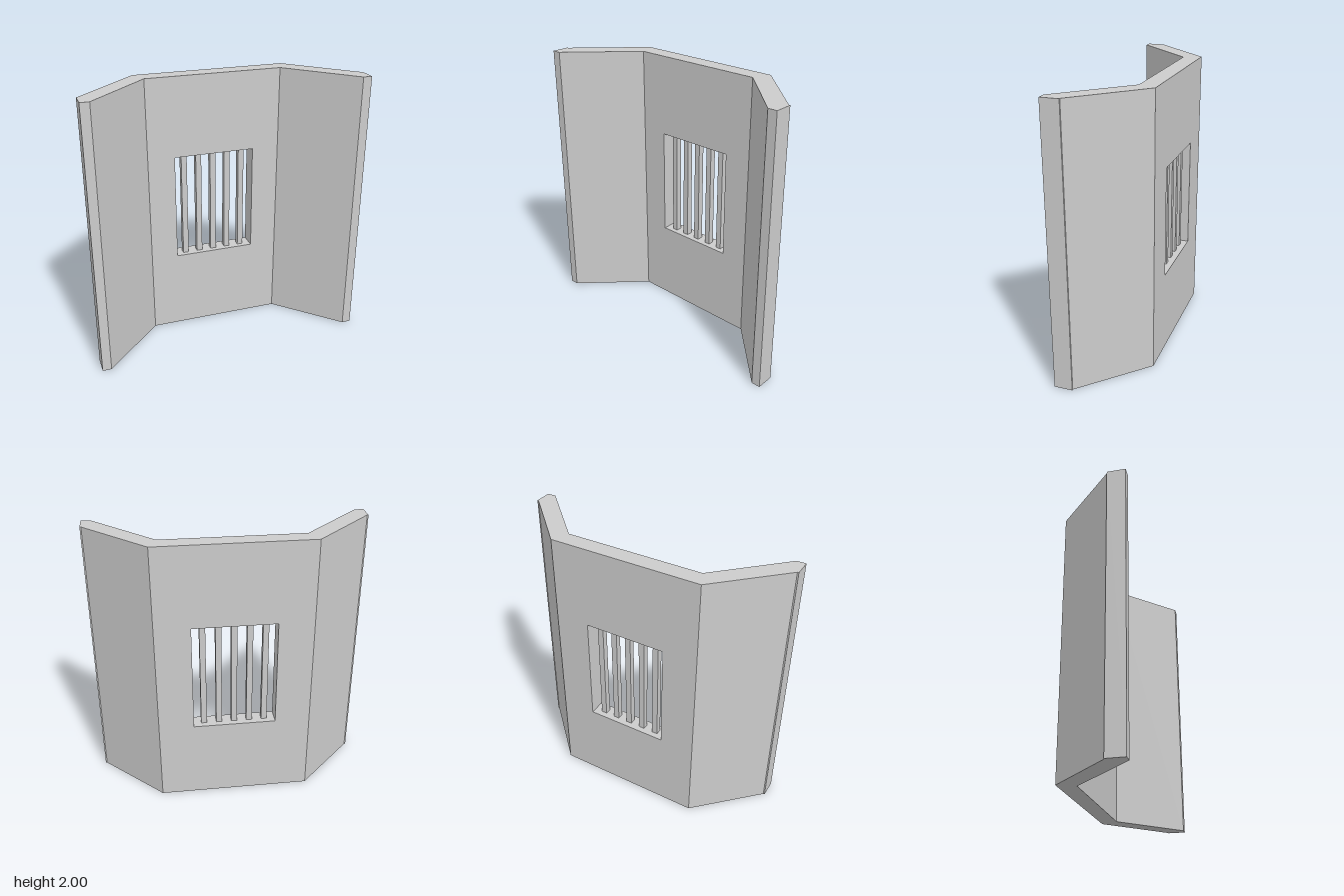
import * as THREE from 'three';

const HEIGHT = 2, BACK = -0.28, FRONT = -0.155;
const WINDOW = { x: 0.3, bottom: 0.6, top: 1.405 };

export function createModel() {
  const group = new THREE.Group();
  const material = new THREE.MeshStandardMaterial({ color: 0xcccccc, flatShading: true });
  const add = (name, geometry) => {
    const mesh = new THREE.Mesh(geometry, material);
    mesh.name = name;
    group.add(mesh);
    return mesh;
  };

  // Centre wall with a window opening, widened at the back to meet the mitred wings
  const wall = new THREE.Shape([[-0.5, 0], [0.5, 0], [0.5, HEIGHT], [-0.5, HEIGHT]]
    .map(([x, y]) => new THREE.Vector2(x, y)));
  const { x: w, bottom, top } = WINDOW;
  wall.holes.push(new THREE.Path([[-w, bottom], [-w, top], [w, top], [w, bottom]]
    .map(([x, y]) => new THREE.Vector2(x, y))));
  const wallGeometry = new THREE.ExtrudeGeometry(wall, { depth: FRONT - BACK, bevelEnabled: false });
  wallGeometry.translate(0, 0, BACK);
  const p = wallGeometry.attributes.position;
  for (let i = 0; i < p.count; i++) {
    if (Math.abs(p.getX(i)) > 0.49 && p.getZ(i) < -0.2) p.setX(i, Math.sign(p.getX(i)) * 0.555);
  }
  wallGeometry.computeVertexNormals();
  add('centreWall', wallGeometry);

  // Angled side wings, drawn in plan as (x, z) and extruded upward
  const wingPlan = [[0.5, FRONT], [0.555, BACK], [0.99, 0.15], [1, 0.15], [1, 0.28], [0.935, 0.28]];
  for (const [name, side] of [['leftWing', 1], ['rightWing', -1]]) {
    const plan = new THREE.Shape(wingPlan.map(([x, z]) => new THREE.Vector2(side * x, -z)));
    const geometry = new THREE.ExtrudeGeometry(plan, { depth: HEIGHT, bevelEnabled: false });
    add(name, geometry.rotateX(-Math.PI / 2));
  }

  // Upright window bars
  for (let i = -2; i <= 2; i++) {
    const bar = add('windowBar', new THREE.BoxGeometry(0.042, top - bottom, 0.045));
    bar.position.set(i * 0.111, (top + bottom) / 2, -0.215);
  }

  return group;
}
